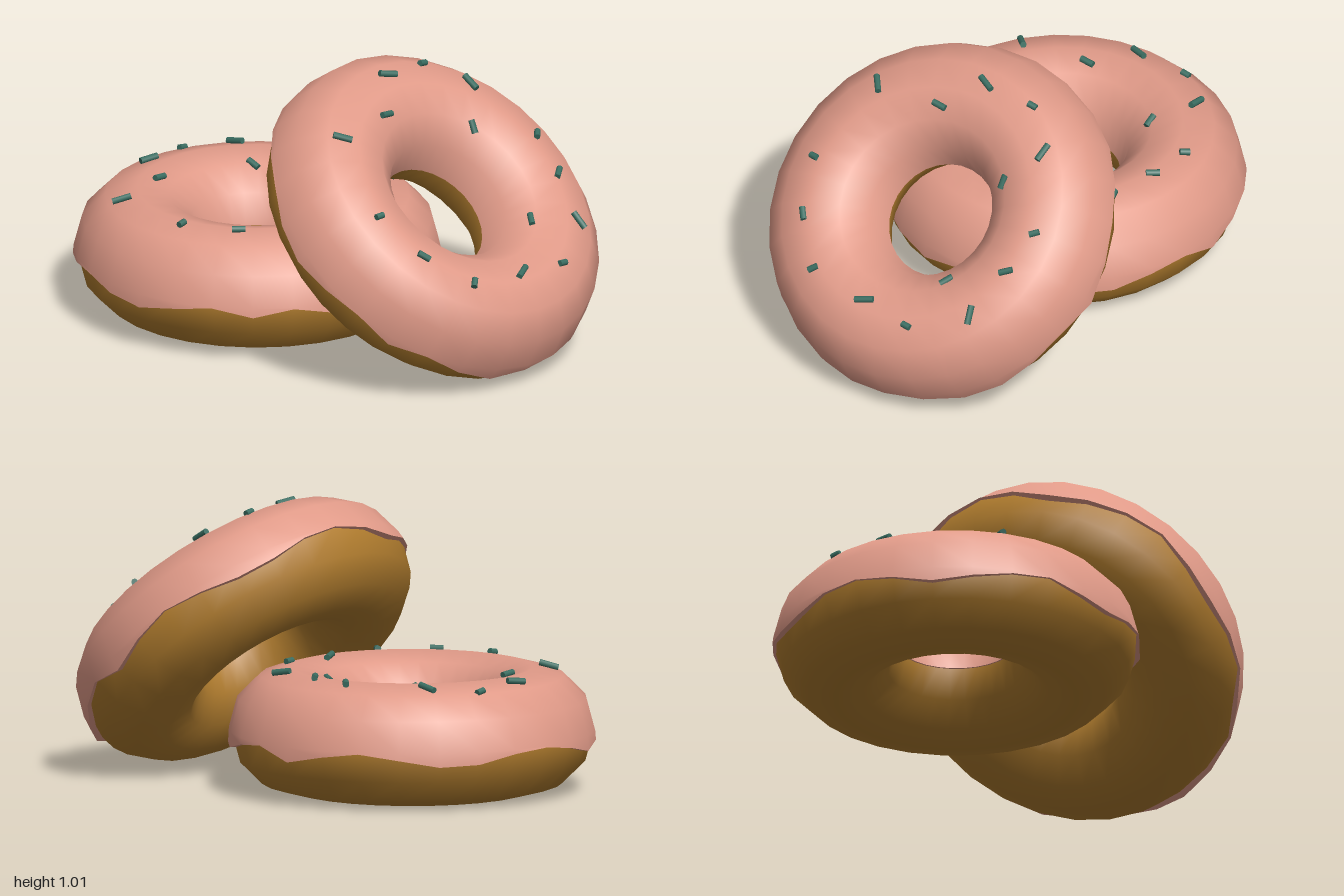
import * as THREE from 'three';

const R = 0.435;        // ring radius
const DOUGH = 0.22;     // dough tube radius
const ICING = 0.226;    // icing tube radius
const SEGS = 28;

// How far the icing hangs below the middle of the ring, around its rim
const DRIPS = [
  0.05, 0.005, 0.02, 0.05, 0.05, 0.02, 0, 0.02, 0.05, 0.03, 0, 0.03, 0, 0.02,
  0.045, 0.03, 0, 0.01, 0.03, 0.05, 0.02, 0, 0.01, 0.04, 0.045, 0.02, 0, 0.02,
];

// Sprinkles: x, z, direction in degrees (seen from above, towards +z), length
const SPRINKLES = [
  [-0.015, -0.495, 20, 0.07], [0.185, -0.505, 0, 0.035], [-0.135, -0.345, 0, 0.053],
  [0.325, -0.375, 90, 0.07], [0.235, -0.215, 90, 0.05], [-0.395, -0.305, 45, 0.07],
  [-0.465, 0.035, 0, 0.032], [-0.385, 0.235, 50, 0.048], [0.465, -0.105, -45, 0.037],
  [0.445, 0.065, -40, 0.05], [0.235, 0.195, -60, 0.05], [0.405, 0.265, 75, 0.07],
  [-0.238, 0.39, -50, 0.037], [0.005, 0.4, -28, 0.07], [0.207, 0.41, 0, 0.034],
];

// Closed ring surface; rows are functions of the segment giving [radius, y]
function ringSurface(rows) {
  const positions = [], index = [];
  for (const row of rows) {
    for (let j = 0; j < SEGS; j++) {
      const a = (j / SEGS) * Math.PI * 2;
      const [r, y] = row(j);
      positions.push(r * Math.cos(a), y, r * Math.sin(a));
    }
  }
  for (let i = 0; i < rows.length - 1; i++) {
    for (let j = 0; j < SEGS; j++) {
      const k = (j + 1) % SEGS;
      const a = i * SEGS + j, b = i * SEGS + k;
      index.push(a, b, a + SEGS, b, b + SEGS, a + SEGS);
    }
  }
  const geometry = new THREE.BufferGeometry();
  geometry.setAttribute('position', new THREE.Float32BufferAttribute(positions, 3));
  geometry.setIndex(index);
  geometry.computeVertexNormals();
  return geometry;
}

function part(name, geometry, material) {
  const mesh = new THREE.Mesh(geometry, material);
  mesh.name = name;
  return mesh;
}

function createSprinkle([x, z, degrees, length], material) {
  // Lay the sprinkle along the icing surface
  const r = Math.hypot(x, z), out = r - R;
  const up = Math.sqrt(ICING * ICING - out * out);
  const normal = new THREE.Vector3((x / r) * out, up, (z / r) * out).normalize();
  const a = THREE.MathUtils.degToRad(degrees);
  const along = new THREE.Vector3(Math.cos(a), 0, Math.sin(a));
  along.y = -(along.x * normal.x + along.z * normal.z) / normal.y;
  along.normalize();
  const mesh = part('sprinkle', new THREE.CylinderGeometry(0.012, 0.012, length, 8), material);
  mesh.quaternion.setFromUnitVectors(new THREE.Vector3(0, 1, 0), along);
  mesh.position.set(x, up, z).addScaledVector(normal, 0.002);
  return mesh;
}

function createDonut(name, mats) {
  const donut = new THREE.Group();
  donut.name = name;

  // Dough ring
  donut.add(part('dough', new THREE.TorusGeometry(R, DOUGH, 12, SEGS).rotateX(Math.PI / 2), mats.dough));

  // Icing over the upper half, ending in a wavy skirt
  const rows = [];
  for (let i = 0; i <= 6; i++) {
    const a = Math.PI * (1 - i / 6);
    rows.push(() => [R + ICING * Math.cos(a), ICING * Math.sin(a)]);
  }
  const skirt = (j) => [R + ICING + 0.003, -0.004 - DRIPS[j]];
  rows.push(skirt);
  donut.add(part('icing', ringSurface(rows), mats.icing));

  // Undersides of the icing edge, outside and in the hole
  const outerLip = ringSurface([skirt, (j) => [R + DOUGH - 0.02, -0.004 - DRIPS[j]]]);
  const innerLip = ringSurface([() => [R - DOUGH + 0.01, 0], () => [R - ICING, 0]]);
  donut.add(part('outerIcingEdge', outerLip, mats.icing));
  donut.add(part('innerIcingEdge', innerLip, mats.icing));

  const sprinkles = new THREE.Group();
  sprinkles.name = 'sprinkles';
  for (const s of SPRINKLES) sprinkles.add(createSprinkle(s, mats.sprinkle));
  donut.add(sprinkles);
  return donut;
}

export function createModel() {
  const material = (name, color) => {
    const m = new THREE.MeshStandardMaterial({ color });
    m.name = name;
    return m;
  };
  const mats = {
    dough: material('goldenDough', 0xb07c2e),
    icing: material('pinkIcing', 0xe09a88),
    sprinkle: material('greenSprinkle', 0x3a6e62),
  };

  const model = new THREE.Group();
  model.name = 'donuts';

  // One donut lies flat, the other leans on it
  const flat = createDonut('flatDonut', mats);
  flat.position.set(-0.015, 0.22, -0.337);

  const leaning = createDonut('leaningDonut', mats);
  leaning.position.set(0.018, 0.505, 0.455);
  leaning.rotation.set(THREE.MathUtils.degToRad(41), THREE.MathUtils.degToRad(-5), 0);

  model.add(flat, leaning);
  return model;
}
